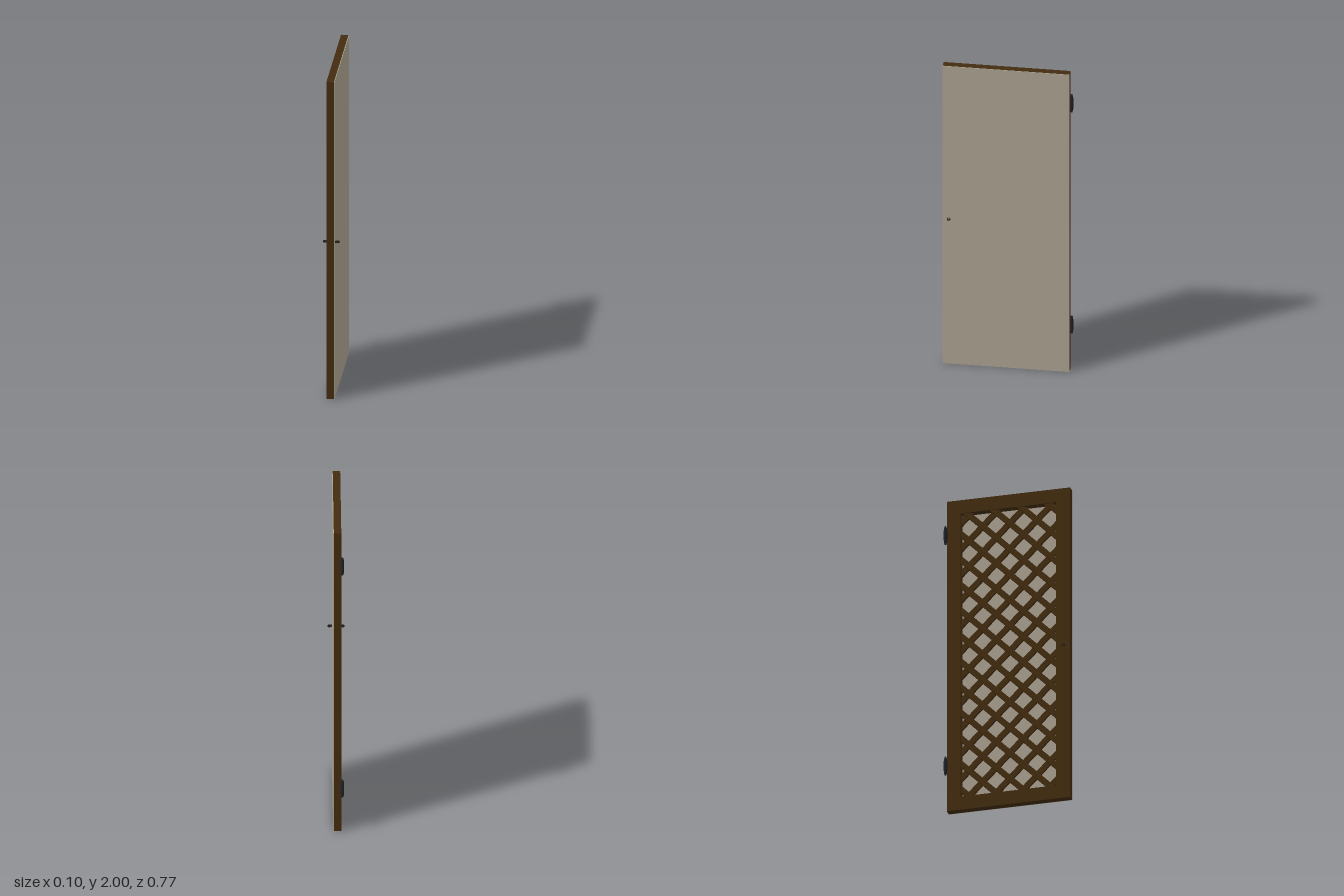
import * as THREE from 'three';

const wood = new THREE.MeshStandardMaterial({ name: 'dark wood', color: 0x432c10 });
const panelMat = new THREE.MeshStandardMaterial({ name: 'beige panel', color: 0xaca391 });
const iron = new THREE.MeshStandardMaterial({ name: 'dark iron', color: 0x20222a });
const handleMat = new THREE.MeshStandardMaterial({ name: 'handle metal', color: 0x25221f });

const Z = 0.008, W = 0.75, H = 2, BORDER = 0.085; // door centre, size and frame width
const BACK = -0.026, PANEL = 0.018, FACE = 0.022; // depth planes along x

export function createModel() {
  const door = new THREE.Group();
  door.name = 'door';
  const add = (name, geometry, material, parent = door) => {
    const mesh = new THREE.Mesh(geometry, material);
    mesh.name = name;
    parent.add(mesh);
    return mesh;
  };

  // Rectangular frame with one tall opening, extruded along x
  const rect = (target, w, h) => {
    target.moveTo(-w, -h);
    target.lineTo(w, -h);
    target.lineTo(w, h);
    target.lineTo(-w, h);
    target.closePath();
    return target;
  };
  const a = W / 2 - BORDER, b = H / 2 - BORDER;
  const outline = rect(new THREE.Shape(), W / 2, H / 2);
  outline.holes.push(rect(new THREE.Path(), a, b));
  const frame = new THREE.ExtrudeGeometry(outline, { depth: PANEL - BACK, bevelEnabled: false });
  frame.rotateY(Math.PI / 2).translate(BACK, H / 2, Z);
  add('frame', frame, wood);

  // Plain panel covering one face
  add('panel', new THREE.BoxGeometry(FACE - PANEL, H, W), panelMat)
    .position.set((FACE + PANEL) / 2, H / 2, Z);

  // Two crossed layers of diagonal slats, ends hidden inside the frame
  const lattice = new THREE.Group();
  lattice.name = 'lattice';
  door.add(lattice);
  const e = 0.02, step = 0.165;
  for (const [dir, x] of [[-1, -0.013], [1, 0.001]]) {
    for (let i = -8; i <= 8; i++) {
      // slat line: y = c + dir * z, clipped to the opening
      const c = i * step;
      const ends = [(-b - e - c) * dir, (b + e - c) * dir].sort((p, q) => p - q);
      const z0 = Math.max(-a - e, ends[0]), z1 = Math.min(a + e, ends[1]);
      if (z1 - z0 < 0.06) continue;
      const zm = (z0 + z1) / 2;
      const slat = add('slat', new THREE.BoxGeometry(0.014, 0.035, (z1 - z0) * Math.SQRT2), wood, lattice);
      slat.position.set(x, H / 2 + c + dir * zm, Z + zm);
      slat.rotation.x = -dir * Math.PI / 4;
    }
  }

  // Hinge barrels with tapered ends
  const profile = [[0, -0.06], [0.005, -0.059], [0.008, -0.048], [0.0105, -0.03],
    [0.0105, 0.03], [0.008, 0.048], [0.005, 0.059], [0, 0.06]]
    .map(([r, y]) => new THREE.Vector2(r, y));
  for (const y of [0.29, 1.78]) {
    add('hinge', new THREE.LatheGeometry(profile, 16), iron).position.set(-0.032, y, -0.373);
  }

  // Flat looped handles on both faces
  const half = [[0.015, 0.006], [0.027, 0.0055], [0.033, 0.007], [0.04, 0.0085], [0.0455, 0.0055]];
  const loop = [...half, [0.047, 0], ...half.map(([x, z]) => [x, -z]).reverse()];
  for (const side of [1, -1]) {
    const points = loop.map(([x, z]) => new THREE.Vector3(side * x, 0, z));
    const handle = new THREE.TubeGeometry(new THREE.CatmullRomCurve3(points), 40, 0.002, 8);
    const mesh = add('handle', handle, handleMat);
    mesh.scale.y = 2.5;
    mesh.position.set(side > 0 ? 0 : -0.002, 0.98, 0.345);
  }
  return door;
}
